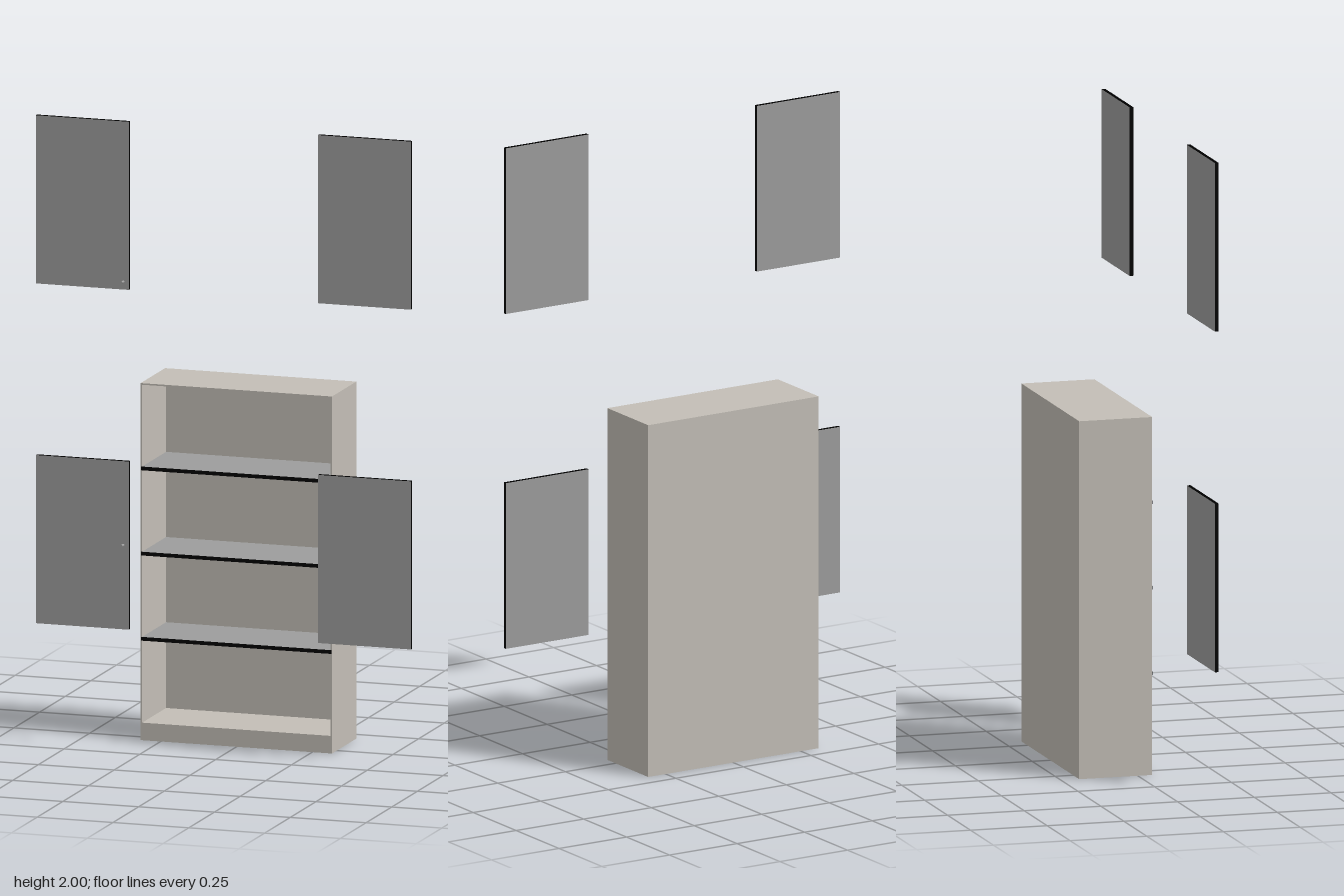
import * as THREE from 'three';

const body = new THREE.MeshStandardMaterial({ color: 0xc3beb6 });
const glass = new THREE.MeshStandardMaterial({ color: 0x9d9d9d });
const edge = new THREE.MeshStandardMaterial({ color: 0x000000 });

// Face materials in box order (+x, -x, +y, -y, +z, -z): grey faces, black edges
const doorFaces = [edge, edge, edge, edge, glass, glass];
const shelfFaces = [edge, edge, glass, glass, edge, edge];

// Box given by its minimum and maximum corners
function box(name, material, [x0, y0, z0], [x1, y1, z1]) {
  const mesh = new THREE.Mesh(new THREE.BoxGeometry(x1 - x0, y1 - y0, z1 - z0), material);
  mesh.position.set((x0 + x1) / 2, (y0 + y1) / 2, (z0 + z1) / 2);
  mesh.name = name;
  return mesh;
}

export function createModel() {
  const model = new THREE.Group();
  model.name = 'bookcase';

  // Cabinet body: thin panels around an open front
  const L = -0.316, R = 0.315, H = 1.14, back = -0.191, front = 0.047, t = 0.005, base = 0.056;
  const cabinet = new THREE.Group();
  cabinet.name = 'cabinet';
  cabinet.add(
    box('rightSide', body, [L, 0, back], [L + t, H, front]),
    box('leftSide', body, [R - t, 0, back], [R, H, front]),
    box('backPanel', body, [L + t, base, back], [R - t, H - t, back + t]),
    box('topPanel', body, [L + t, H - t, back], [R - t, H, front]),
    box('plinth', body, [L + t, 0, back], [R - t, base, front])
  );
  model.add(cabinet);

  // Shelves, let into the side panels
  for (const y of [0.324, 0.596, 0.868]) {
    model.add(box('shelf', shelfFaces, [L + 0.001, y - 0.006, back + t], [R - 0.001, y + 0.006, front + 0.001]));
  }

  // Two rows of detached door panels, with a knob on the right-hand ones
  const doorBack = 0.161, doorFront = 0.173;
  for (const [y0, y1, knobY] of [[0.378, 0.915, 0.647], [1.463, 2.0, 1.488]]) {
    model.add(
      box('rightDoor', doorFaces, [-0.619, y0, doorBack], [-0.312, y1, doorFront]),
      box('leftDoor', doorFaces, [0.312, y0, doorBack], [0.618, y1, doorFront])
    );
    const knob = new THREE.Mesh(new THREE.CylinderGeometry(0.004, 0.004, 0.018, 32), glass);
    knob.rotation.x = Math.PI / 2;
    knob.position.set(-0.331, knobY, doorFront + 0.009);
    knob.name = 'knob';
    model.add(knob);
  }
  return model;
}
